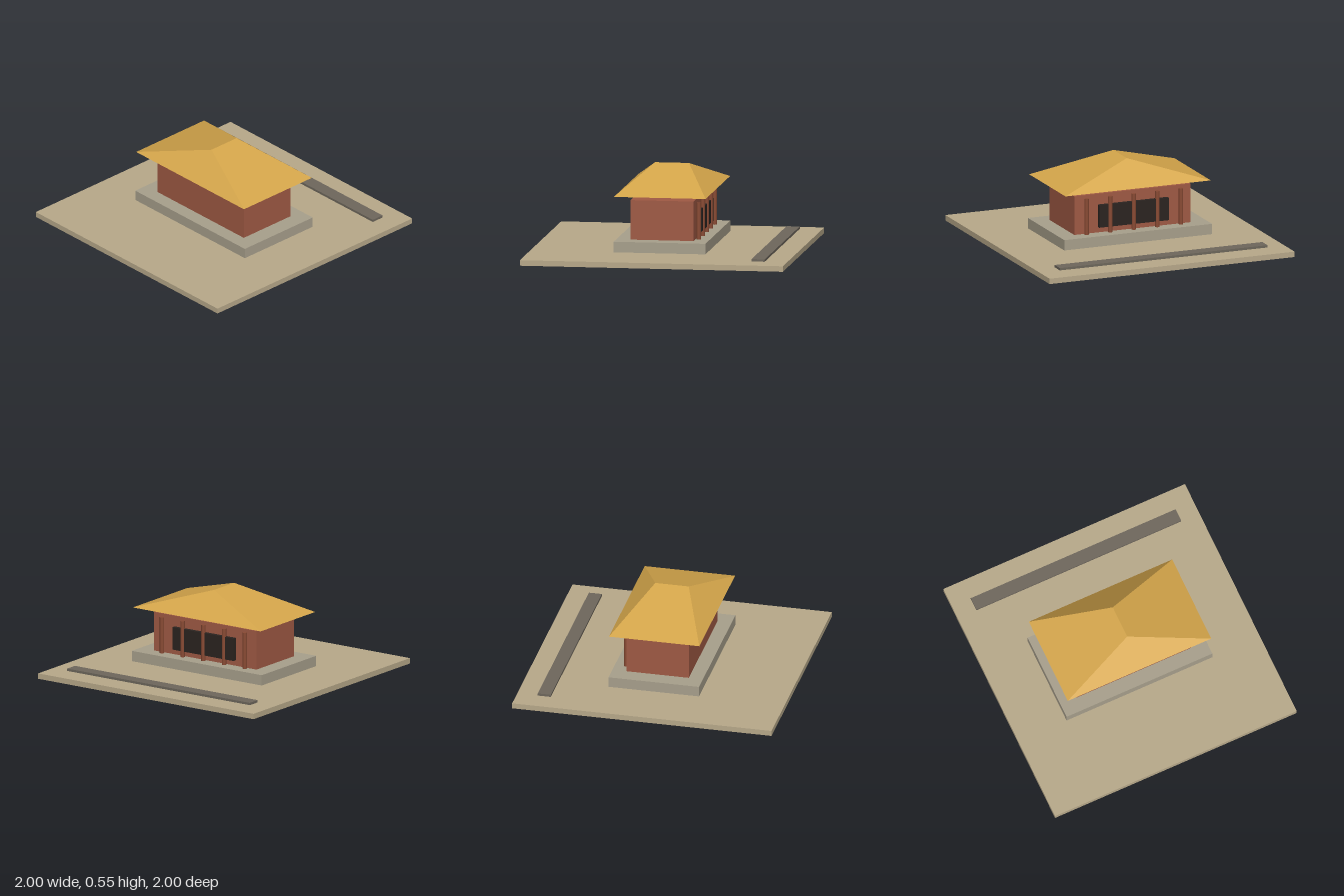
import * as THREE from 'three';

const material = (color) => new THREE.MeshStandardMaterial({ color });

// Box spanning y0..y1, centred on x, z
function slab(name, w, d, y0, y1, z, mat) {
  const mesh = new THREE.Mesh(new THREE.BoxGeometry(w, y1 - y0, d), mat);
  mesh.name = name;
  mesh.position.set(0, (y0 + y1) / 2, z);
  return mesh;
}

// Hipped roof: rectangular eave rising to a ridge across the short axis, closed below
function hipRoof(a, b, ridge, y0, y1) {
  const geo = new THREE.BufferGeometry();
  geo.setAttribute('position', new THREE.Float32BufferAttribute([
    -a, y0, b, a, y0, b, a, y0, -b, -a, y0, -b, // eave corners
    0, y1, ridge, 0, y1, -ridge, // ridge ends
  ], 3));
  geo.setIndex([
    0, 1, 4, 2, 3, 5, // front and back hips
    1, 2, 5, 1, 5, 4, // left slope
    3, 0, 4, 3, 4, 5, // right slope
    0, 3, 2, 0, 2, 1, // underside
  ]);
  const flat = geo.toNonIndexed();
  flat.computeVertexNormals();
  return flat;
}

export function createModel() {
  const model = new THREE.Group();
  model.name = 'pavilion';
  const site = new THREE.Group();
  site.name = 'site';
  site.rotation.y = -0.2196;
  model.add(site);

  // Ground, path and plinth
  site.add(slab('ground', 1.675, 1.675, 0, 0.035, 0, material(0xb8a98a)));
  site.add(slab('path', 1.42, 0.084, 0.042, 0.057, -0.66, material(0x6e675c)));
  site.add(slab('plinth', 1.01, 0.584, 0.049, 0.116, 0, material(0xa8a08c)));

  // Hall with a dark opening at the back
  site.add(slab('hall', 0.796, 0.402, 0.116, 0.367, 0, material(0xa05a44)));
  site.add(slab('doorPanel', 0.475, 0.04, 0.152, 0.298, -0.206, material(0x2b2420)));

  // Row of columns along the back
  const columnGeo = new THREE.CylinderGeometry(0.014, 0.014, 0.234, 12);
  const columnMat = material(0x8a4b34);
  for (let i = -2; i <= 2; i++) {
    const column = new THREE.Mesh(columnGeo, columnMat);
    column.name = 'column';
    column.position.set(i * 0.161, 0.233, -0.221);
    site.add(column);
  }

  // Roof
  const roof = new THREE.Mesh(hipRoof(0.497, 0.292, 0.108, 0.4, 0.552), material(0xd4a54a));
  roof.name = 'roof';
  site.add(roof);

  return model;
}
